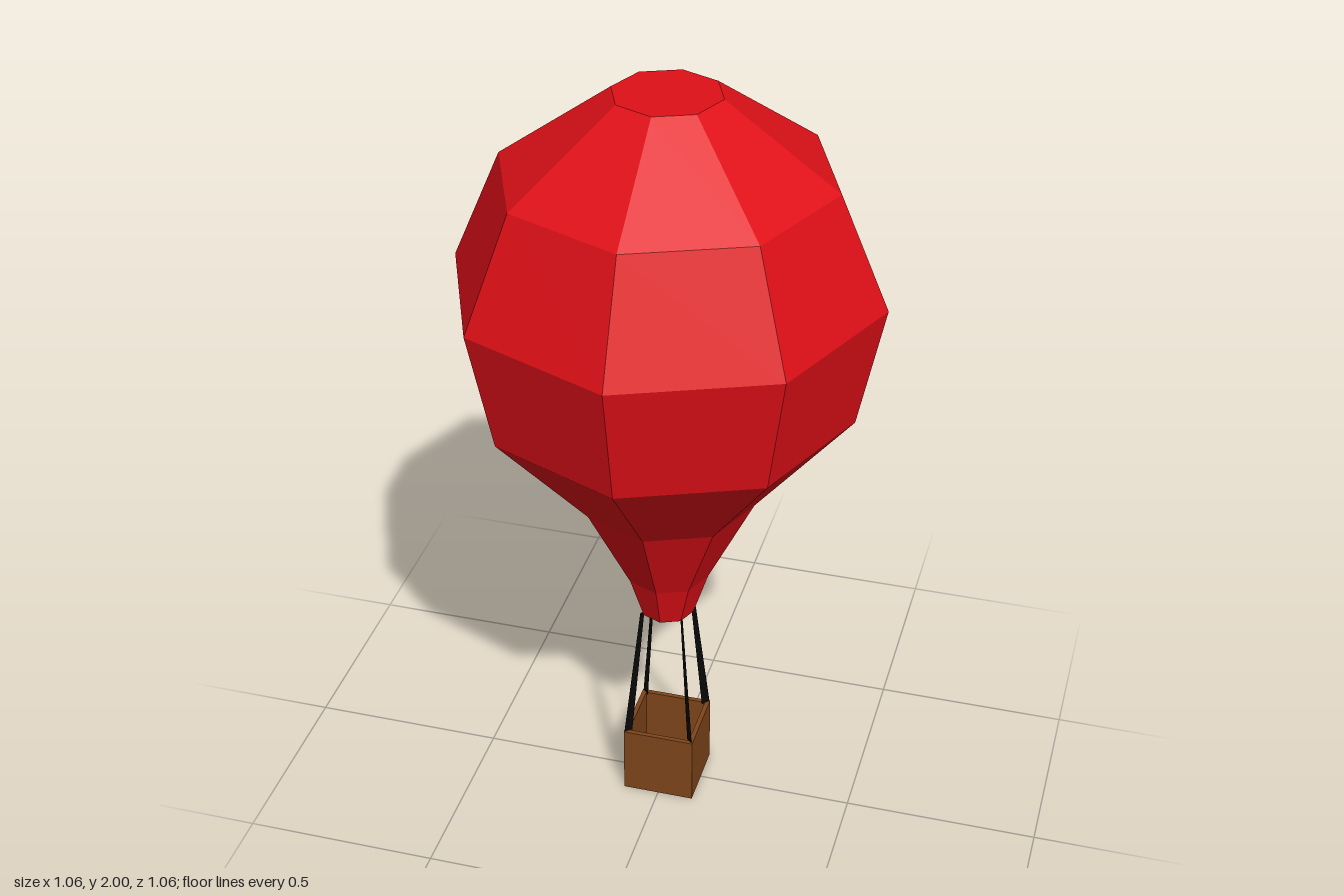
import * as THREE from 'three';

const mat = (color, extra = {}) =>
  new THREE.MeshStandardMaterial({ color, flatShading: true, ...extra });

export function createModel() {
  const group = new THREE.Group();
  const red = mat(0xe01018);
  const brown = mat(0x80461b);
  const black = mat(0x080808, { side: THREE.DoubleSide });

  const add = (name, geometry, material, parent = group) => {
    const mesh = new THREE.Mesh(geometry, material);
    mesh.name = name;
    parent.add(mesh);
    return mesh;
  };

  // Eight-sided envelope, from the neck up to the flat crown
  const profile = [
    [0.07, 0.555], [0.108, 0.675], [0.225, 0.915], [0.467, 1.2],
    [0.532, 1.515], [0.41, 1.8], [0.133, 2], [0, 2],
  ].map(([r, y]) => new THREE.Vector2(r, y));
  add('envelope', new THREE.LatheGeometry(profile, 8), red);

  // Dark mouth under the neck
  const mouth = add('mouth', new THREE.CircleGeometry(0.07, 8), black);
  mouth.rotation.x = Math.PI / 2;
  mouth.position.y = 0.555;

  // Open basket: square wall ring with a floor
  const basket = new THREE.Group();
  basket.name = 'basket';
  group.add(basket);
  const half = 0.094, inner = 0.082, height = 0.19, floor = 0.015;
  const square = (Type, s) => new Type([
    [-s, -s], [s, -s], [s, s], [-s, s],
  ].map(([x, y]) => new THREE.Vector2(x, y)));
  const ring = square(THREE.Shape, half);
  ring.holes.push(square(THREE.Path, inner));
  const walls = new THREE.ExtrudeGeometry(ring, { depth: height, bevelEnabled: false });
  walls.rotateX(-Math.PI / 2);
  add('basketWalls', walls, brown, basket);
  add('basketFloor', new THREE.BoxGeometry(inner * 2, floor, inner * 2), brown, basket)
    .position.y = floor / 2;

  // Four flat tapering ropes, each in the diagonal plane of a basket corner
  const strip = new THREE.Shape([
    [0.107, 0.188], [0.131, 0.188], [0.08, 0.565], [0.068, 0.565],
  ].map(([r, y]) => new THREE.Vector2(r, y)));
  const ropeGeometry = new THREE.ShapeGeometry(strip);
  for (let i = 0; i < 4; i++) {
    add('rope', ropeGeometry, black).rotation.y = Math.PI / 4 + i * Math.PI / 2;
  }

  return group;
}
